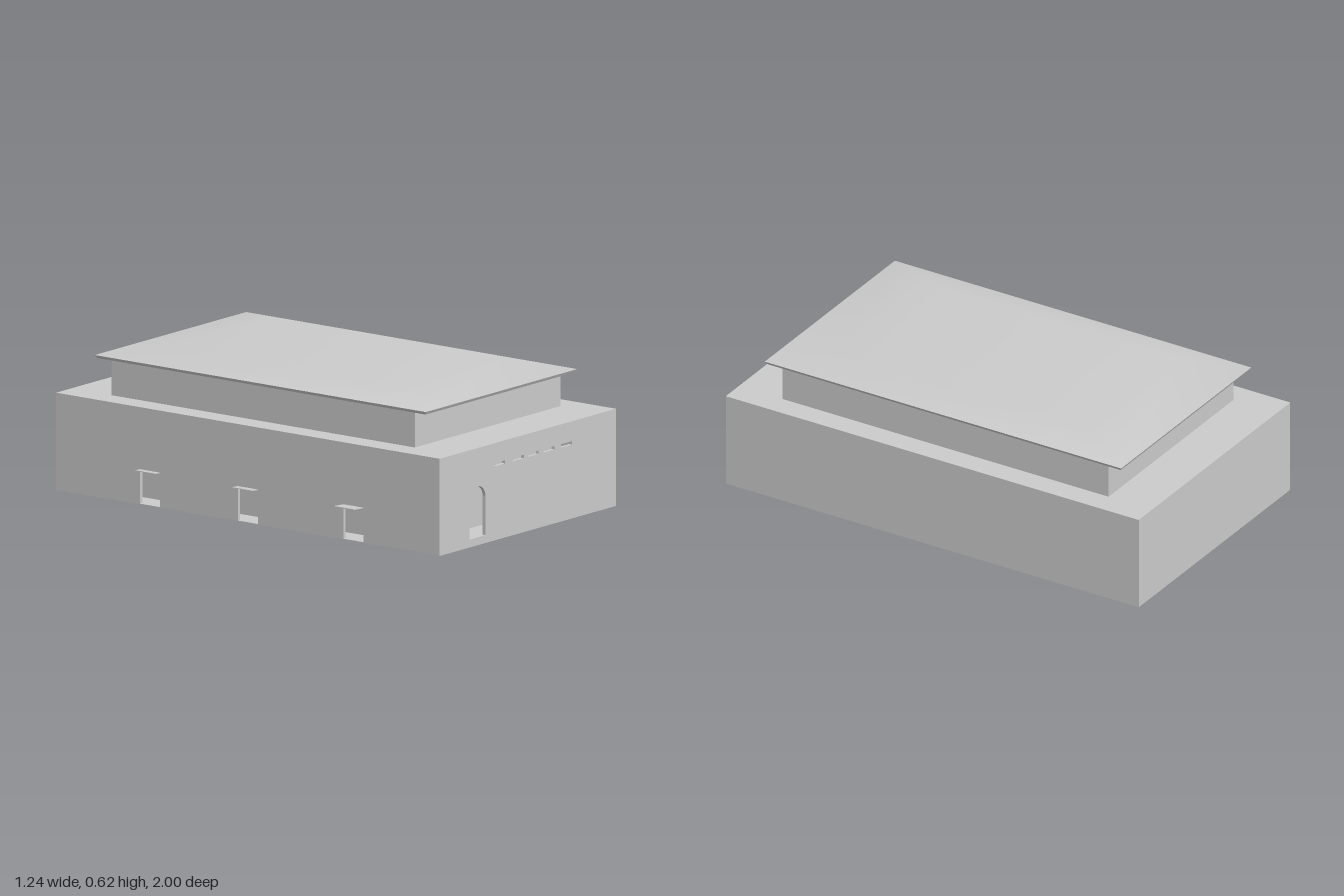
import * as THREE from 'three';

const mat = new THREE.MeshStandardMaterial({ color: 0xcccccc, side: THREE.DoubleSide });

// Main dimensions: the hall's lower storey and the raised upper storey
const X0 = -0.56, X1 = 0.62, Z = 1, H = 0.41, T = 0.015;
const UX0 = -0.457, UX1 = 0.517, UZ = 0.79, UTOP = 0.562;

function add(parent, name, geometry) {
  const mesh = new THREE.Mesh(geometry, mat);
  mesh.name = name;
  parent.add(mesh);
  return mesh;
}

// Box given by its minimum and maximum corners
function block(parent, name, x0, x1, y0, y1, z0, z1) {
  const mesh = add(parent, name, new THREE.BoxGeometry(x1 - x0, y1 - y0, z1 - z0));
  mesh.position.set((x0 + x1) / 2, (y0 + y1) / 2, (z0 + z1) / 2);
  return mesh;
}

function rectPath(x0, x1, y0, y1) {
  const points = [[x0, y0], [x0, y1], [x1, y1], [x1, y0]];
  return new THREE.Path(points.map(([x, y]) => new THREE.Vector2(x, y)));
}

// Four-sided band through rectangles {x0, x1, z, y}, optionally capped at the top
function band(rings, capTop) {
  const pos = [], index = [];
  for (const r of rings) {
    pos.push(r.x0, r.y, r.z, r.x1, r.y, r.z, r.x1, r.y, -r.z, r.x0, r.y, -r.z);
  }
  for (let k = 0; k < rings.length - 1; k++) {
    for (let i = 0; i < 4; i++) {
      const a = k * 4 + i, b = k * 4 + (i + 1) % 4;
      index.push(a, b, b + 4, a, b + 4, a + 4);
    }
  }
  if (capTop) {
    const t = (rings.length - 1) * 4;
    index.push(t, t + 1, t + 2, t, t + 2, t + 3);
  }
  const g = new THREE.BufferGeometry();
  g.setAttribute('position', new THREE.Float32BufferAttribute(pos, 3));
  g.setIndex(index);
  return g;
}

function frontWall() {
  const wall = new THREE.Shape();
  wall.moveTo(X0, 0).lineTo(X1, 0).lineTo(X1, H).lineTo(X0, H).closePath();

  // Arched doorway
  const cx = -0.306, r = 0.053, spring = 0.195, sill = 0.033;
  const door = new THREE.Path();
  door.moveTo(cx - r, sill).lineTo(cx - r, spring);
  door.absarc(cx, spring, r, Math.PI, 0, true);
  door.lineTo(cx + r, sill).closePath();
  wall.holes.push(door);

  // Row of narrow slots
  for (const x of [-0.158, -0.033, 0.067, 0.172, 0.288]) {
    wall.holes.push(rectPath(x - 0.036, x + 0.036, 0.312, 0.326));
  }
  const g = new THREE.ExtrudeGeometry(wall, { depth: T, bevelEnabled: false, curveSegments: 16 });
  return g.translate(0, 0, Z - T);
}

// Side doors: centre along z and reach of the awning
const sideDoors = [
  { z: 0.55, reach: 0.063 },
  { z: 0.0, reach: 0.04 },
  { z: -0.51, reach: 0.035 },
];
const doorHalf = 0.052, doorTop = 0.143;

function sideWall() {
  const wall = new THREE.Shape();
  const end = Z - T;
  wall.moveTo(-end, 0);
  for (const d of [...sideDoors].reverse()) {
    wall.lineTo(d.z - doorHalf, 0).lineTo(d.z - doorHalf, doorTop);
    wall.lineTo(d.z + doorHalf, doorTop).lineTo(d.z + doorHalf, 0);
  }
  wall.lineTo(end, 0).lineTo(end, H).lineTo(-end, H).closePath();
  const g = new THREE.ExtrudeGeometry(wall, { depth: T, bevelEnabled: false });
  // Shape x runs along +z, thickness runs inward along +x
  return g.rotateY(-Math.PI / 2).translate(X0 + T, 0, 0);
}

export function createModel() {
  const model = new THREE.Group();
  model.name = 'hall';

  // Lower storey shell
  const lower = new THREE.Group();
  lower.name = 'lowerStorey';
  model.add(lower);
  add(lower, 'frontWall', frontWall());
  add(lower, 'rightWall', sideWall());
  block(lower, 'leftWall', X1 - T, X1, 0, H, -Z + T, Z - T);
  block(lower, 'backWall', X0, X1, 0, H, -Z, -Z + T);
  block(lower, 'floor', X0, X1, 0, 0.003, -Z, Z);
  block(lower, 'terrace', X0, X1, H - 0.003, H, -Z, Z);

  // Upper storey, its walls carried down to the floor
  block(model, 'upperStorey', UX0, UX1, 0.003, UTOP, -UZ, UZ);

  // Awnings over the side doors, tilted slightly upward
  for (const d of sideDoors) {
    const g = new THREE.BoxGeometry(d.reach, 0.003, 0.104);
    g.translate(-d.reach / 2, 0, 0);
    const awning = add(model, 'awning', g);
    awning.position.set(X0, 0.147, d.z);
    awning.rotation.z = -0.06;
  }

  // Roof: closed soffit, thin eave and low hipped top
  const roof = new THREE.Group();
  roof.name = 'roof';
  model.add(roof);
  const soffit = { x0: -0.469, x1: 0.529, z: 0.856, y: 0.56 };
  const eave = { x0: -0.477, x1: 0.537, z: 0.863, y: 0.573 };
  const crown = { x0: -0.32, x1: 0.38, z: 0.6, y: 0.617 };
  const edge = band([soffit, eave], false).toNonIndexed();
  edge.computeVertexNormals();
  add(roof, 'eave', edge);
  const top = band([eave, crown], true);
  top.computeVertexNormals();
  add(roof, 'hippedTop', top);
  block(roof, 'soffit', soffit.x0, soffit.x1, soffit.y, soffit.y + 0.002, -soffit.z, soffit.z);

  return model;
}
